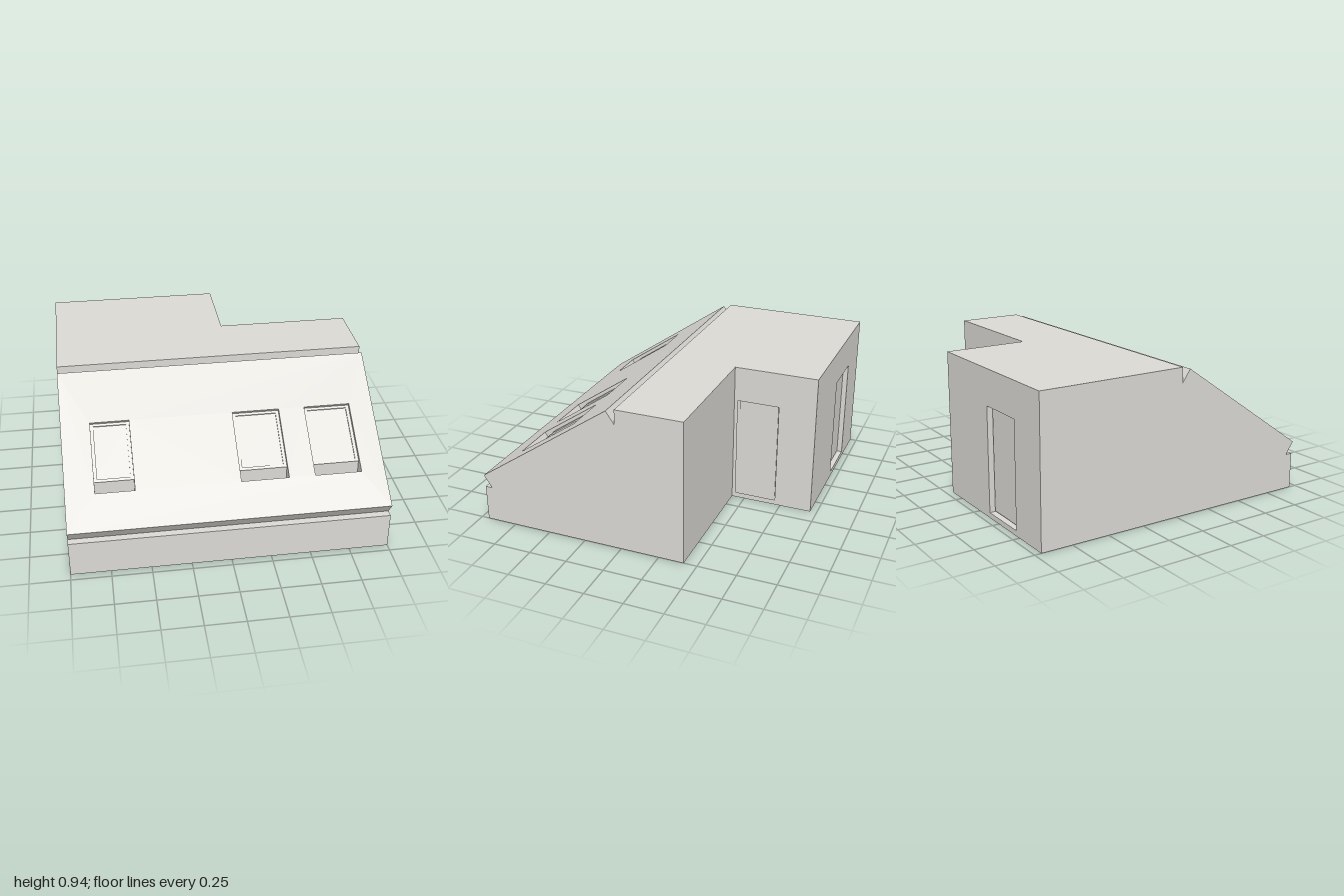
import * as THREE from 'three';

const plaster = new THREE.MeshStandardMaterial({ color: 0xdcdad5 });
plaster.name = 'plaster';

// Roof plane: starts at the ridge and runs down to the eave
const RIDGE = { z: 0.075, y: 0.923 }, EAVE = { z: 0.957, y: 0.315 };
const LENGTH = Math.hypot(EAVE.z - RIDGE.z, EAVE.y - RIDGE.y);
const UZ = (EAVE.z - RIDGE.z) / LENGTH, UY = (EAVE.y - RIDGE.y) / LENGTH;
const SLAB = 0.0965, TOP = 0.94, STEP = -0.414, BACK = -0.957, SIDE = 0.134, REVEAL = 0.04;

// Point [z, y] at distance s down the slope and depth d below its surface
const onRoof = (s, d) => [RIDGE.z + UZ * s + UY * d, RIDGE.y + UY * s - UZ * d];

function rect(x0, y0, x1, y1, Type = THREE.Shape) {
  return new Type([[x0, y0], [x1, y0], [x1, y1], [x0, y1]].map(p => new THREE.Vector2(...p)));
}

function panel(outer, holes, depth) {
  const shape = rect(...outer);
  holes.forEach(h => shape.holes.push(rect(...h, THREE.Path)));
  return new THREE.ExtrudeGeometry(shape, { depth, bevelEnabled: false });
}

// Extrude a [z, y] profile from x0 to x1
function alongX(points, x0, x1) {
  const shape = new THREE.Shape(points.map(p => new THREE.Vector2(...p)));
  return new THREE.ExtrudeGeometry(shape, { depth: x1 - x0, bevelEnabled: false })
    .rotateY(-Math.PI / 2).translate(x1, 0, 0);
}

function box(x0, x1, y0, y1, z0, z1) {
  return new THREE.BoxGeometry(x1 - x0, y1 - y0, z1 - z0)
    .translate((x0 + x1) / 2, (y0 + y1) / 2, (z0 + z1) / 2);
}

function add(parent, name, geometry) {
  const mesh = new THREE.Mesh(geometry, plaster);
  mesh.name = name;
  parent.add(mesh);
  return mesh;
}

export function createModel() {
  const house = new THREE.Group();
  house.name = 'house';

  // Main body below the roof slab
  const eaveIn = onRoof(LENGTH, SLAB), ridgeIn = onRoof(0, SLAB);
  add(house, 'mainBody', alongX([
    [0.95, 0], [0.95, eaveIn[1]], eaveIn, ridgeIn, [ridgeIn[0], TOP], [STEP, TOP], [STEP, 0],
  ], -1, 1));

  // Rear wing: core plus two outer walls with door openings
  add(house, 'rearWingCore', box(-1, SIDE - REVEAL, 0, TOP, BACK + REVEAL, STEP));
  add(house, 'rearWall', panel([-1, 0, SIDE, TOP], [[-0.714, 0.034, -0.386, 0.711]], REVEAL)
    .translate(0, 0, BACK));
  add(house, 'sideWall', panel([STEP, 0, BACK + REVEAL, TOP], [[-0.437, 0.034, -0.713, 0.711]], REVEAL)
    .rotateY(-Math.PI / 2).translate(SIDE, 0, 0));

  // Door leaves
  add(house, 'rearDoor', box(-0.704, -0.396, 0.042, 0.703, BACK + REVEAL - 0.008, BACK + REVEAL));
  add(house, 'sideDoor', box(SIDE - REVEAL, SIDE - REVEAL + 0.008, 0.042, 0.703, -0.702, -0.445));

  // Sloping roof slab with window openings
  const windows = [[-0.816, -0.571], [0.086, 0.387], [0.553, 0.849]];
  const winTop = 0.361, winBottom = 0.829, frameBottom = 0.75, frameDepth = 0.022, paneDepth = 0.03;
  const roof = new THREE.Group();
  roof.name = 'roof';
  roof.position.set(0, RIDGE.y, RIDGE.z);
  roof.rotation.x = -Math.atan2(UZ, -UY);
  house.add(roof);
  add(roof, 'roofSlab', panel([-1, -LENGTH, 1, 0],
    windows.map(([a, b]) => [a, -winBottom, b, -winTop]), SLAB).translate(0, 0, -SLAB));

  for (const [a, b] of windows) {
    // Raised frame around the pane
    add(roof, 'windowFrame', panel([a, -frameBottom, b, -winTop],
      [[a + 0.02, -0.731, b - 0.02, -0.378]], paneDepth - frameDepth).translate(0, 0, -paneDepth));

    // Pane with an upright apron and a small sill below it
    const foot = onRoof(frameBottom, paneDepth);
    const sillY = 0.385;
    add(house, 'windowPane', alongX([
      onRoof(winTop, paneDepth), foot, [foot[0], sillY], [0.705, sillY],
      [0.705, 0.36], onRoof(winTop, SLAB + 0.01),
    ], a, b));
  }
  return house;
}
